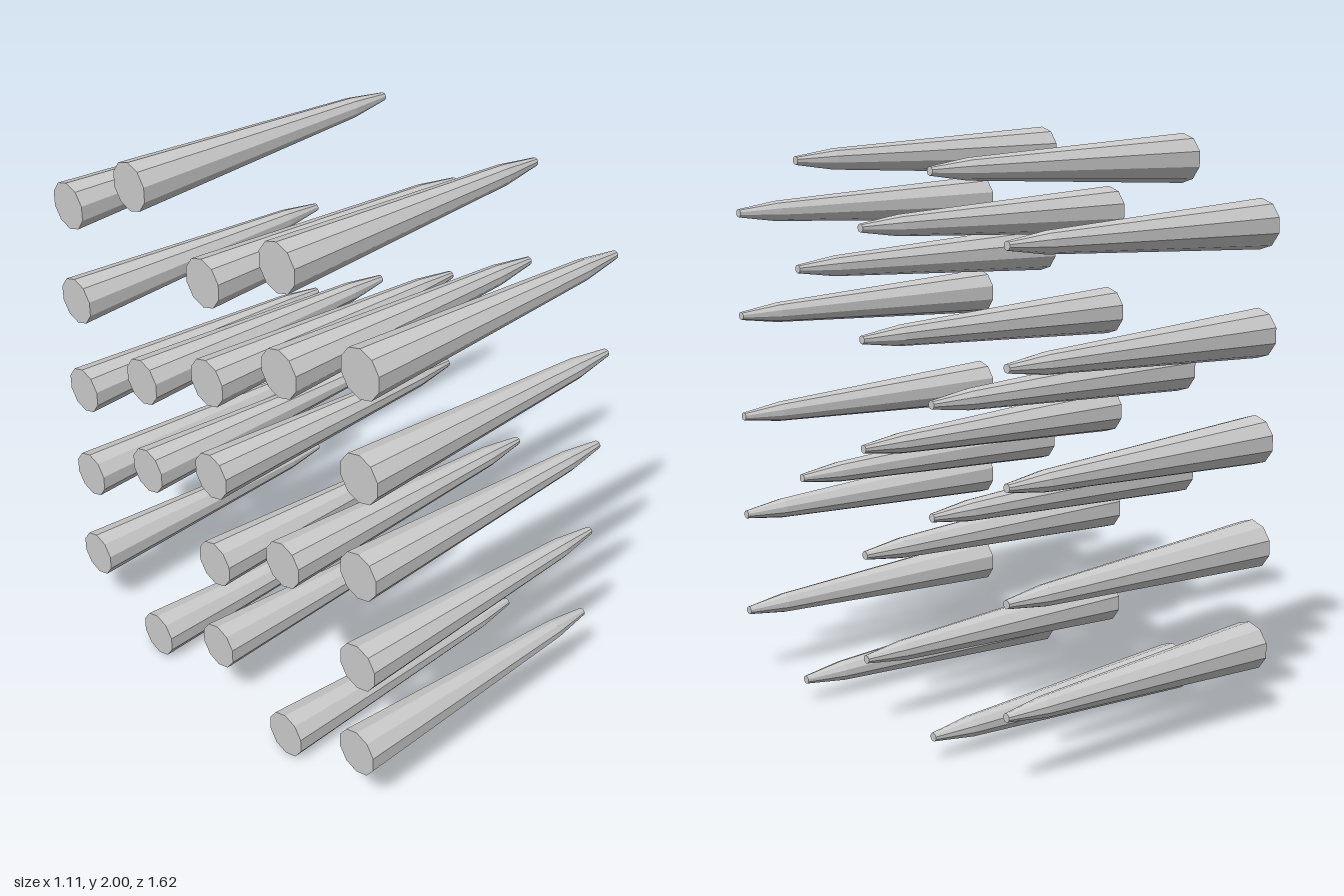
import * as THREE from 'three';

// Ten-sided spike: wide capped base, long taper, short blunt tip
function spikeGeometry() {
  const profile = [
    [0, -0.553], [0.085, -0.553], [0.036, 0.4], [0.0145, 0.553], [0, 0.553],
  ].map(([r, y]) => new THREE.Vector2(r, y));
  const geometry = new THREE.LatheGeometry(profile, 10, Math.PI / 2);
  geometry.rotateZ(-Math.PI / 2); // point along +x
  return geometry;
}

export function createModel() {
  const group = new THREE.Group();
  group.name = 'spikeArray';
  const material = new THREE.MeshStandardMaterial({ color: 0xcccccc, flatShading: true });
  const geometry = spikeGeometry();

  // Spike heights in each column, spaced along z
  const step = 0.364;
  const full = [0.257, 0.621, 0.985, 1.35, 1.715];
  const columns = [
    full,
    [0.087, 0.822, 1.187, 1.915],
    full,
    [0.087, 0.822, 1.55, 1.915],
    full,
  ];

  columns.forEach((heights, column) => {
    for (const y of heights) {
      const spike = new THREE.Mesh(geometry, material);
      spike.name = 'spike';
      spike.position.set(0, y, (column - 2) * step);
      group.add(spike);
    }
  });
  return group;
}
